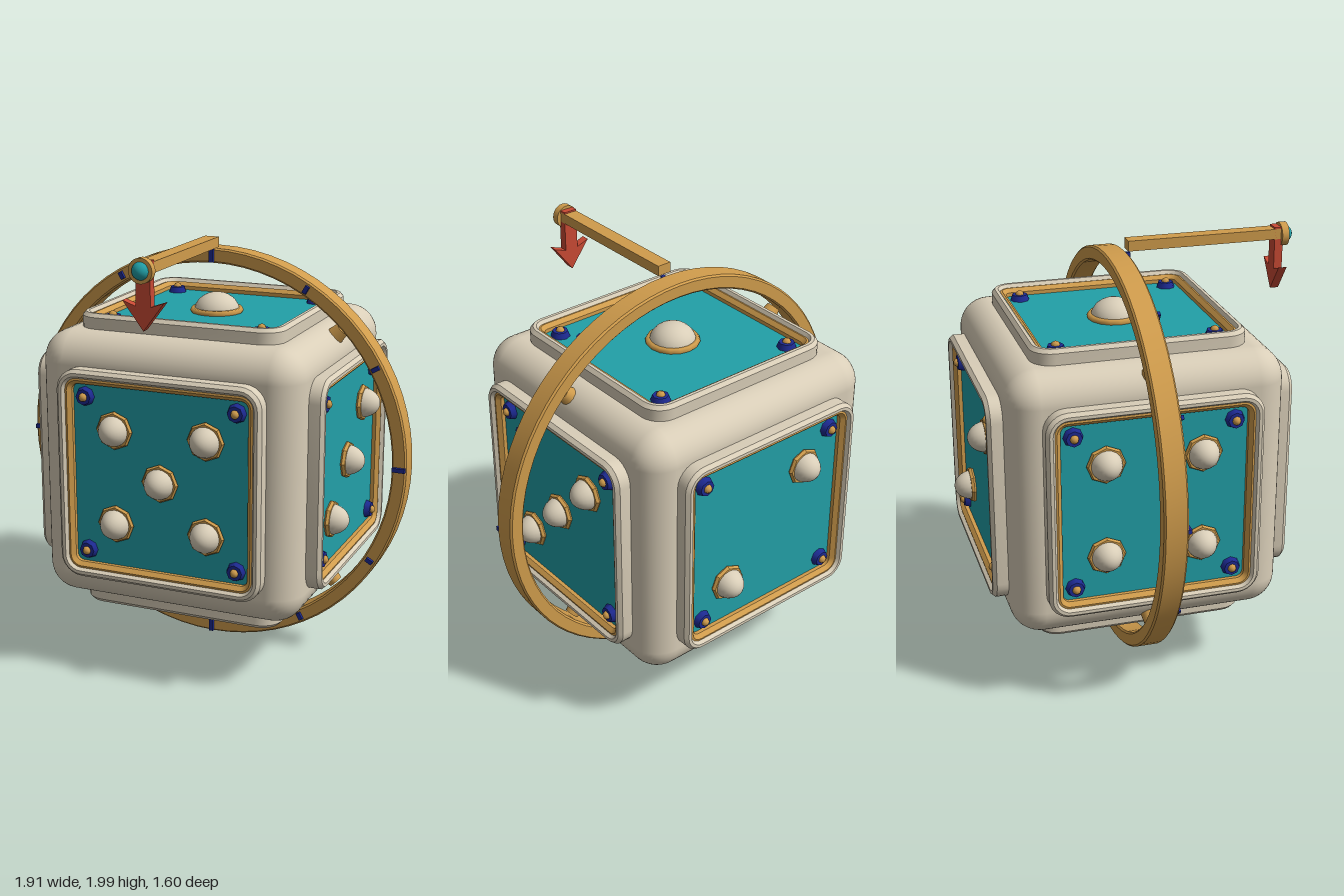
import * as THREE from 'three';
import { toCreasedNormals } from 'three/addons/utils/BufferGeometryUtils.js';
import { RoundedBoxGeometry } from 'three/addons/geometries/RoundedBoxGeometry.js';

const paint = (name, color) => {
  const m = new THREE.MeshStandardMaterial({ color });
  m.name = name;
  return m;
};

// Outline of a rounded square, counter-clockwise
function roundedSquare(half, r) {
  const pts = [];
  const signs = [[1, 1], [-1, 1], [-1, -1], [1, -1]];
  signs.forEach(([sx, sy], q) => {
    for (let i = 0; i <= 6; i++) {
      const a = (q + i / 6) * Math.PI / 2;
      pts.push(new THREE.Vector2(sx * (half - r) + r * Math.cos(a), sy * (half - r) + r * Math.sin(a)));
    }
  });
  return pts;
}

// Skin joining rounded squares given as [half size, z, corner radius]
function loft(sections) {
  const pos = [], idx = [];
  let n = 0;
  for (const [half, z, r] of sections) {
    const pts = roundedSquare(half, r);
    n = pts.length;
    pts.forEach(p => pos.push(p.x, p.y, z));
  }
  for (let s = 0; s < sections.length - 1; s++) {
    for (let i = 0; i < n; i++) {
      const j = (i + 1) % n, a = s * n, b = a + n;
      idx.push(a + i, a + j, b + j, a + i, b + j, b + i);
    }
  }
  const g = new THREE.BufferGeometry();
  g.setAttribute('position', new THREE.Float32BufferAttribute(pos, 3));
  g.setIndex(idx);
  return toCreasedNormals(g, 0.45);
}

export function createModel() {
  const cream = paint('cream', 0xd9ceb8);
  const gold = paint('gold', 0xd09c4c);
  const teal = paint('teal', 0x22a0a8);
  const blue = paint('navy blue', 0x1d2a92);
  const red = paint('red', 0xc94a34);

  const model = new THREE.Group();
  model.name = 'dieInRing';
  const add = (parent, name, geo, mat, x = 0, y = 0, z = 0) => {
    const m = new THREE.Mesh(geo, mat);
    m.name = name;
    m.position.set(x, y, z);
    parent.add(m);
    return m;
  };

  // Die body
  const CY = 0.965;
  const die = new THREE.Group();
  die.name = 'die';
  die.position.set(0, CY, -0.06);
  model.add(die);
  add(die, 'body', new RoundedBoxGeometry(1.26, 1.26, 1.26, 5, 0.14), cream);

  // Shared face parts, facing +z
  const frameGeo = loft([[0.49, 0.6, 0.1], [0.49, 0.683, 0.1], [0.475, 0.7, 0.085], [0.46, 0.7, 0.07], [0.447, 0.68, 0.057]]);
  const trimGeo = loft([[0.449, 0.684, 0.057], [0.44, 0.686, 0.05], [0.422, 0.668, 0.032], [0.422, 0.64, 0.032]]);
  const panelGeo = new THREE.ExtrudeGeometry(new THREE.Shape(roundedSquare(0.43, 0.035)), { depth: 0.03, bevelEnabled: false });
  const domeGeo = new THREE.SphereGeometry(1, 20, 8, 0, Math.PI * 2, 0, Math.PI / 2).rotateX(Math.PI / 2);
  const collarGeo = toCreasedNormals(new THREE.TorusGeometry(0.074, 0.015, 6, 8), 0.3);
  const bigCollarGeo = new THREE.TorusGeometry(0.11, 0.016, 6, 16);
  const boltGeo = new THREE.CylinderGeometry(0.036, 0.046, 0.03, 8).rotateX(Math.PI / 2);
  const boltCapGeo = new THREE.SphereGeometry(0.02, 8, 6);

  // Pips on each face, in that face's own right and up directions
  const p = 0.22;
  const diagonal = [[-p, -p], [p, p]];
  const four = [...diagonal, [-p, p], [p, -p]];
  const faces = [
    ['front', 0, 0, [...four, [0, 0]]],
    ['left', 0, Math.PI / 2, [...diagonal, [0, 0]]],
    ['back', 0, Math.PI, diagonal],
    ['right', 0, -Math.PI / 2, four],
    ['top', -Math.PI / 2, 0, [[0, 0]]],
    ['bottom', Math.PI / 2, 0, [-p, p].flatMap(x => [-0.2, 0, 0.2].map(y => [x, y]))],
  ];
  for (const [name, rx, ry, pips] of faces) {
    const face = new THREE.Group();
    face.name = name + 'Face';
    face.rotation.set(rx, ry, 0);
    die.add(face);
    add(face, 'faceFrame', frameGeo, cream);
    add(face, 'faceTrim', trimGeo, gold);
    add(face, 'facePanel', panelGeo, teal, 0, 0, 0.62);
    const big = pips.length === 1;
    for (const [x, y] of pips) {
      const r = big ? 0.108 : 0.072;
      add(face, 'pip', domeGeo, cream, x, y, 0.65).scale.set(r, r, 0.092);
      add(face, 'pipCollar', big ? bigCollarGeo : collarGeo, gold, x, y, 0.658);
    }
    for (const sx of [-1, 1]) for (const sy of [-1, 1]) {
      add(face, 'bolt', boltGeo, blue, sx * 0.363, sy * 0.363, 0.662);
      add(face, 'boltCap', boltCapGeo, gold, sx * 0.363, sy * 0.363, 0.676);
    }
  }

  // Gold studs on the four long edges beneath the ring
  const studGeo = new THREE.CylinderGeometry(0.033, 0.042, 0.05, 12);
  for (let i = 0; i < 4; i++) {
    const a = Math.PI / 4 + i * Math.PI / 2;
    add(die, 'edgeStud', studGeo, gold, 0.85 * Math.cos(a), 0.85 * Math.sin(a), 0).rotation.z = a - Math.PI / 2;
  }

  // Surrounding ring with small bevels
  const b = 0.008;
  const profile = [
    [0.888, -0.11 + b], [0.888 + b, -0.11], [0.957 - b, -0.11], [0.957, -0.11 + b],
    [0.957, -b], [0.957 - b, 0], [0.888 + b, 0], [0.888, -b], [0.888, -0.11 + b],
  ].map(([x, y]) => new THREE.Vector2(x, y));
  const ringGeo = toCreasedNormals(new THREE.LatheGeometry(profile, 72).rotateX(Math.PI / 2), 0.4);
  add(model, 'ring', ringGeo, gold, 0, CY, 0);

  // Twelve markers, longer at the quarters
  for (let i = 0; i < 12; i++) {
    const a = i * Math.PI / 6;
    const geo = new THREE.BoxGeometry(i % 3 ? 0.036 : 0.06, 0.02, 0.024);
    add(model, 'ringMarker', geo, blue, 0.922 * Math.cos(a), CY + 0.922 * Math.sin(a), 0.004).rotation.z = a;
  }

  // Pointer: arm, collar, bead and downward arrow
  const pointer = new THREE.Group();
  pointer.name = 'pointer';
  model.add(pointer);
  add(pointer, 'pointerArm', new THREE.BoxGeometry(0.068, 0.048, 0.74), gold, 0, 1.953, 0.37);
  add(pointer, 'pointerCollar', new THREE.CylinderGeometry(0.055, 0.055, 0.034, 24).rotateX(Math.PI / 2), gold, 0, 1.945, 0.753);
  add(pointer, 'pointerBead', new THREE.SphereGeometry(0.04, 20, 14), teal, 0, 1.945, 0.76);
  const arrow = new THREE.Shape([
    [0, 1.685], [0.096, 1.812], [0.034, 1.79], [0.034, 1.985],
    [-0.034, 1.985], [-0.034, 1.79], [-0.096, 1.812],
  ].map(([x, y]) => new THREE.Vector2(x, y)));
  add(pointer, 'pointerArrow', new THREE.ExtrudeGeometry(arrow, { depth: 0.04, bevelEnabled: false }), red, 0, 0, 0.705);

  return model;
}
